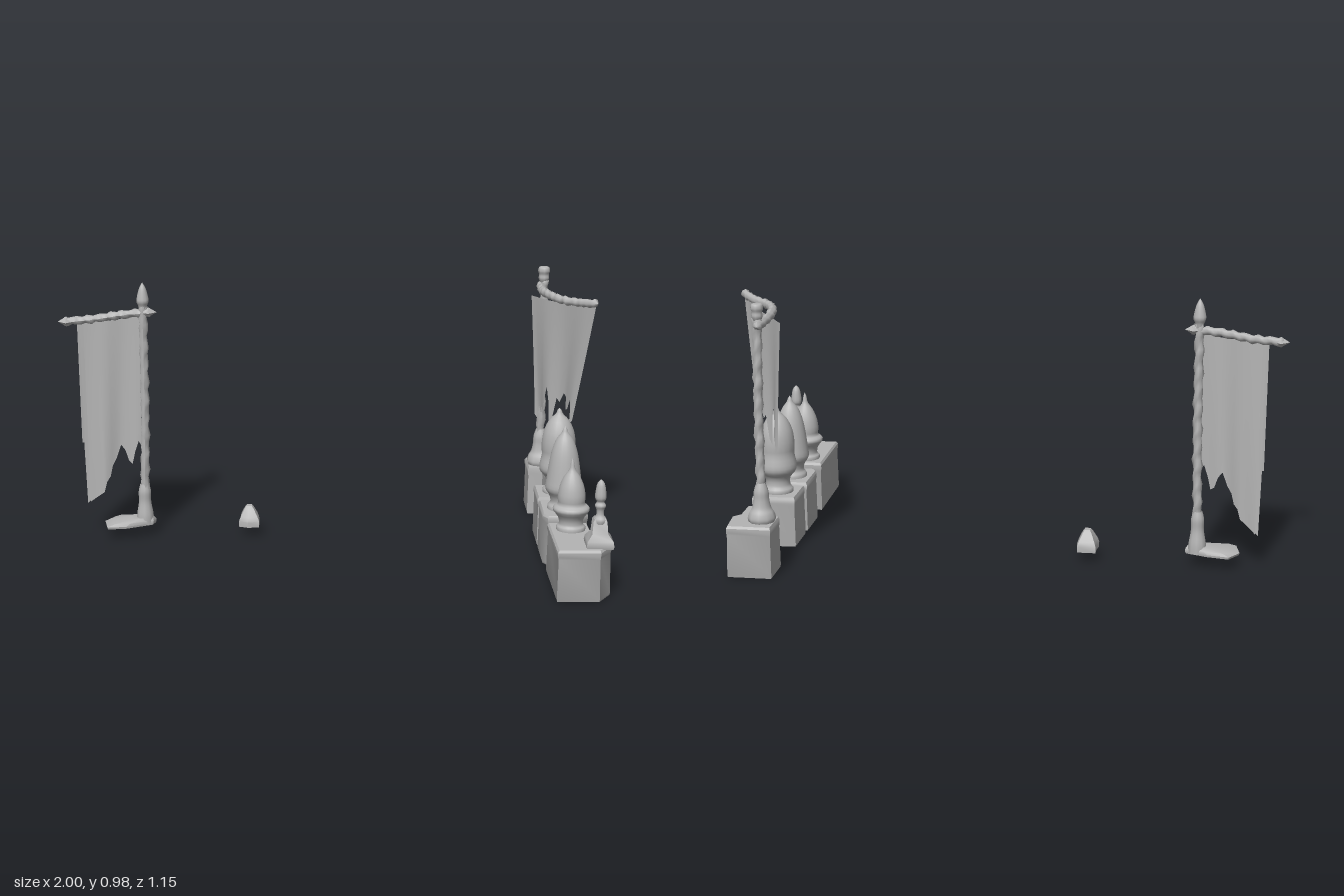
import * as THREE from 'three';
import { toCreasedNormals, mergeGeometries } from 'three/addons/utils/BufferGeometryUtils.js';

const stone = new THREE.MeshStandardMaterial({ color: 0xb4b4b4, side: THREE.DoubleSide });
stone.name = 'grey stone';

function add(parent, name, geometry, x = 0, y = 0, z = 0) {
  const mesh = new THREE.Mesh(geometry, stone);
  mesh.name = name;
  mesh.position.set(x, y, z);
  parent.add(mesh);
  return mesh;
}

// Hollow shell: an [x, z] outline stacked through [y, scale, dx, dz] levels, closed on top only
function shell(outline, levels) {
  const n = outline.length;
  const cx = outline.reduce((s, p) => s + p[0], 0) / n;
  const cz = outline.reduce((s, p) => s + p[1], 0) / n;
  const ring = ([y, s, dx = 0, dz = 0]) =>
    outline.map(([x, z]) => [cx + (x - cx) * s + dx, y, cz + (z - cz) * s + dz]);
  const rings = levels.map(ring);
  const pos = [];
  for (let l = 0; l < rings.length - 1; l++) {
    for (let i = 0; i < n; i++) {
      const j = (i + 1) % n;
      const a = rings[l][i], b = rings[l][j], c = rings[l + 1][i], d = rings[l + 1][j];
      pos.push(...a, ...c, ...d, ...a, ...d, ...b);
    }
  }
  const walls = new THREE.BufferGeometry();
  walls.setAttribute('position', new THREE.Float32BufferAttribute(pos, 3));
  const top = rings[rings.length - 1];
  const cap = new THREE.ShapeGeometry(new THREE.Shape(top.map(p => new THREE.Vector2(p[0], -p[2]))));
  cap.rotateX(-Math.PI / 2).translate(0, top[0][1], 0);
  const flatCap = cap.toNonIndexed();
  flatCap.deleteAttribute('uv');
  flatCap.deleteAttribute('normal');
  return toCreasedNormals(mergeGeometries([walls, flatCap]), 0.6);
}

// Turned part from [radius, y] points, smoothed by a spline
function turned(points, sides = 20, steps = 28) {
  const curve = new THREE.SplineCurve(points.map(p => new THREE.Vector2(...p)));
  const profile = curve.getPoints(steps);
  profile.forEach(p => { p.x = Math.max(p.x, 0); });
  return new THREE.LatheGeometry(profile, sides);
}

// Knotty wooden rod with closed ends
function rod(points, radius, steps = 36) {
  const path = new THREE.CatmullRomCurve3(points.map(p => new THREE.Vector3(...p)));
  const g = new THREE.TubeGeometry(path, steps, radius, 8);
  const { position: p, normal: n, uv } = g.attributes;
  for (let i = 0; i < p.count; i++) {
    const x = p.getX(i), y = p.getY(i), z = p.getZ(i);
    const end = uv.getX(i) < 0.001 || uv.getX(i) > 0.999;
    const d = end ? -radius : radius * 0.2 * Math.sin(90 * y + 130 * x + 110 * z) + radius * 0.1 * Math.sin(210 * (x + z) - 60 * y);
    p.setXYZ(i, x + n.getX(i) * d, y + n.getY(i) * d, z + n.getZ(i) * d);
  }
  g.computeVertexNormals();
  return g;
}

// Torn cloth: top corners a, b; hem corners a2, b2 ([x, z]); hem is a list of [u, y]
function cloth(a, b, a2, b2, hem, sag, wave) {
  const mix = THREE.MathUtils.lerp, rows = 10, cols = hem.length;
  const low = Math.min(...hem.map(h => h[1]));
  const side = new THREE.Vector3(b[2] - a[2], 0, a[0] - b[0]).normalize();
  const g = new THREE.PlaneGeometry(1, 1, cols - 1, rows);
  const p = g.attributes.position;
  for (let i = 0; i < p.count; i++) {
    const [u, hemY] = hem[i % cols];
    const v = Math.floor(i / cols) / rows;
    const topY = mix(a[1], b[1], u) - sag * Math.sin(Math.PI * u);
    const y = mix(topY, hemY, v);
    const t = (topY - y) / (topY - low);
    const w = wave * (0.3 + t) * Math.sin(u * 11 + t);
    p.setXYZ(i,
      mix(mix(a[0], b[0], u), mix(a2[0], b2[0], u), t) + side.x * w, y,
      mix(mix(a[2], b[2], u), mix(a2[1], b2[1], u), t) + side.z * w);
  }
  g.computeVertexNormals();
  return g;
}

export function createModel() {
  const model = new THREE.Group();
  model.name = 'ruined wall tops and banners';

  // Hollow wall blocks along the left side
  const blocks = {
    bannerBlock: [[.785, -.58], [.945, -.58], [.955, -.46], [.93, -.43], [.93, -.32], [.845, -.32], [.84, -.43], [.785, -.44]],
    rearBlock: [[.785, -.21], [.9, -.215], [.945, -.215], [.945, -.09], [.915, -.08], [.905, -.045], [.785, -.05]],
    middleBlock: [[.785, -.015], [.93, -.015], [.935, .02], [.95, .03], [.95, .14], [.92, .18], [.8, .18], [.785, .15]],
    frontBlock: [[.79, .25], [.93, .25], [.935, .37], [.975, .385], [.99, .5], [.945, .575], [.795, .575]],
  };
  for (const [name, outline] of Object.entries(blocks)) {
    add(model, name, shell(outline, [[0, .98], [.008, 1], [.155, .975], [.165, 1], [.18, 1], [.188, .95]]));
  }

  // Bulbous finials
  add(model, 'rearFinial', turned([[.055, .185], [.056, .2], [.045, .215], [.047, .245], [.067, .27], [.07, .295],
    [.062, .335], [.064, .37], [.058, .42], [.038, .465], [.014, .49], [.008, .505], [0, .513]]), .866, 0, -.127);
  add(model, 'middleFinial', turned([[.058, .185], [.057, .2], [.047, .215], [.052, .24], [.067, .265], [.064, .3],
    [.056, .36], [.046, .41], [.031, .45], [.013, .475], [.007, .49], [0, .5]]), .865, 0, .078);
  add(model, 'frontFinial', turned([[.052, .185], [.052, .2], [.043, .21], [.047, .235], [.066, .262], [.06, .275], [.048, .285],
    [.05, .31], [.043, .35], [.028, .385], [.011, .41], [.006, .435], [0, .45]]), .866, 0, .325);

  // Thin corner finial on a square plinth
  const corner = [[.897, .458], [.993, .458], [.993, .552], [.897, .552]];
  add(model, 'cornerPlinth', shell(corner, [[.185, .95], [.195, 1], [.212, .95], [.235, .58], [.28, .5], [.29, .38]]));
  add(model, 'cornerFinial', turned([[.022, .27], [.024, .285], [.014, .3], [.014, .32], [.02, .335], [.013, .348],
    [.02, .362], [.019, .385], [.013, .415], [0, .43]], 10), .945, 0, .51);

  // Left banner: post, arm and torn cloth
  const leftBanner = new THREE.Group();
  leftBanner.name = 'leftBanner';
  model.add(leftBanner);
  add(leftBanner, 'postBase', turned([[.045, .185], [.05, .2], [.045, .22], [.034, .24], [.028, .27], [.026, .3], [.016, .33]], 10), .835, 0, -.497);
  add(leftBanner, 'post', rod([[.835, .25, -.497], [.837, .6, -.492], [.833, .94, -.49]], .016));
  add(leftBanner, 'postCap', turned([[.014, .915], [.02, .93], [.019, .945], [.023, .96], [.018, .974], [0, .976]], 8), .833, 0, -.49);
  add(leftBanner, 'arm', rod([[.825, .9, -.535], [.82, .903, -.4], [.825, .912, -.3], [.87, .91, -.2], [.93, .912, -.14], [.99, .922, -.07]], .015));
  const hemA = [[0, .45], [.05, .44], [.09, .5], [.13, .53], [.18, .49], [.24, .48], [.29, .53], [.35, .54], [.42, .5],
    [.47, .515], [.51, .43], [.56, .41], [.6, .5], [.65, .55], [.7, .5], [.75, .43], [.79, .47], [.84, .43], [.91, .46], [.95, .405], [1, .42]];
  add(leftBanner, 'cloth', cloth([.985, .915, -.08], [.775, .885, -.387], [.92, -.185], [.795, -.377], hemA, .01, .009));

  // Right banner: post, foot, arm and torn cloth
  const rightBanner = new THREE.Group();
  rightBanner.name = 'rightBanner';
  model.add(rightBanner);
  add(rightBanner, 'postFoot', shell([[-.845, -.205], [-.81, -.262], [-.73, -.245], [-.65, -.21], [-.66, -.18], [-.76, -.13], [-.83, -.12]],
    [[.042, .97], [.05, 1], [.06, .85, .015], [.07, .45, .05]]));
  add(rightBanner, 'postSocket', turned([[.034, .045], [.032, .08], [.024, .13], [.024, .17], [.017, .2]], 10), -.692, 0, -.2);
  add(rightBanner, 'post', rod([[-.692, .1, -.2], [-.685, .5, -.198], [-.685, .91, -.2]], .016));
  add(rightBanner, 'spike', turned([[.014, .875], [.017, .89], [.023, .905], [.022, .92], [.013, .955], [0, .978]], 10), -.685, 0, -.2);
  add(rightBanner, 'arm', rod([[-.985, .83, -.2], [-.88, .838, -.202], [-.75, .858, -.198], [-.65, .865, -.2]], .015));
  for (const [name, x, y] of [['armTipOuter', -.97, .83], ['armTipInner', -.665, .865]]) {
    const tip = add(rightBanner, name, new THREE.OctahedronGeometry(1), x, y, -.2);
    tip.scale.set(.032, .019, .03);
  }
  const hemB = [[0, .36], [.03, .36], [.05, .29], [.1, .3], [.1, .125], [.18, .14], [.26, .155], [.35, .17], [.4, .21], [.46, .23], [.5, .27],
    [.57, .3], [.65, .35], [.72, .33], [.78, .29], [.84, .28], [.89, .33], [.95, .37], [1, .35]];
  hemB[2][1] = .12;
  hemB[3][1] = .13;
  add(rightBanner, 'cloth', cloth([-.93, .828, -.195], [-.698, .852, -.2], [-.92, -.2], [-.7, -.2], hemB, .006, .01));

  // Loose stone between the banners
  add(model, 'looseStone', shell([[-.33, -.245], [-.262, -.245], [-.258, -.205], [-.258, -.155], [-.3, -.15], [-.335, -.165], [-.33, -.2]],
    [[.038, .98], [.06, 1], [.075, .85], [.105, .45], [.114, .28]]));

  return model;
}
